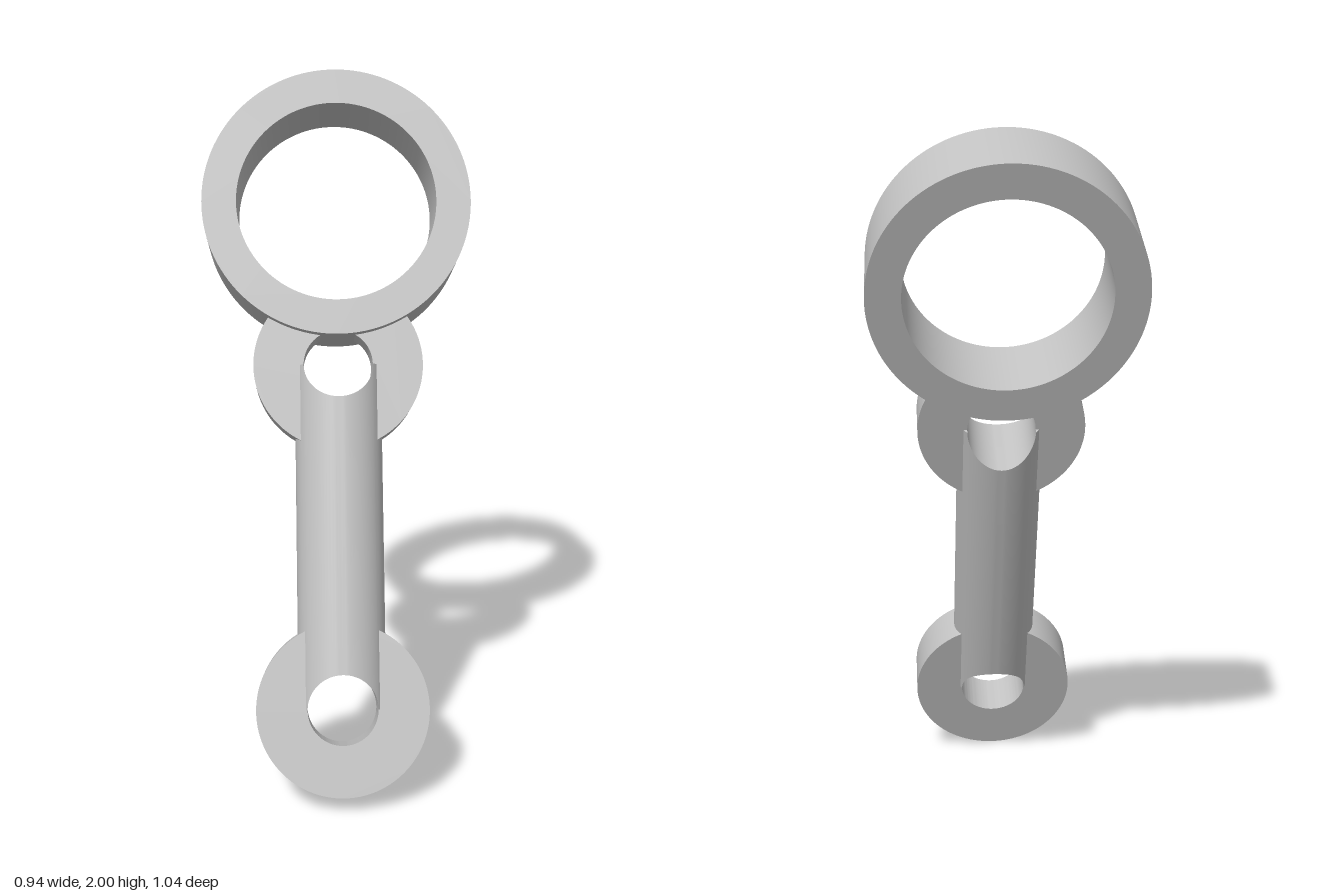
import * as THREE from 'three';
import { toCreasedNormals } from 'three/addons/utils/BufferGeometryUtils.js';

const BORE = 0.1, EYE = 0.245, ROD = 0.126, LENGTH = 0.984;
const RING_Y = 1.457, RING_OUTER = 0.39, RING_INNER = 0.29;

// Extrude a shape along z, centred on the shape plane, with smooth curved walls
function plate(shape, holeRadius, depth) {
  shape.holes.push(new THREE.Path().absarc(0, 0, holeRadius, 0, Math.PI * 2, true));
  const g = new THREE.ExtrudeGeometry(shape, { depth, bevelEnabled: false, curveSegments: 64 });
  g.translate(0, 0, -depth / 2);
  return toCreasedNormals(g, 0.6);
}

function disc(radius) {
  return new THREE.Shape().absarc(0, 0, radius, 0, Math.PI * 2, false);
}

// Disc with a scoop on top, so that it ends inside the wall of the large ring
function scoopedDisc(radius, distance, scoop) {
  const y = (distance ** 2 + radius ** 2 - scoop ** 2) / (2 * distance);
  const x = Math.sqrt(radius ** 2 - y ** 2);
  const a = Math.atan2(y, x), b = Math.atan2(y - distance, x);
  const s = new THREE.Shape();
  s.absarc(0, 0, radius, Math.PI - a, Math.PI * 2 + a, false);
  s.absarc(0, distance, scoop, b, -Math.PI - b, true);
  return s;
}

// Round rod along y whose two ends are hollowed by the cross bores
function rodGeometry() {
  const us = [], edge = Math.acos(BORE / ROD);
  for (let i = 0; i < 6; i++) us.push(ROD * Math.cos(edge * i / 6));
  for (let i = 0; i <= 32; i++) us.push(BORE * Math.cos(Math.PI * i / 32));
  for (let i = 5; i >= 0; i--) us.push(-ROD * Math.cos(edge * i / 6));

  const point = (u, top, side) => {
    const w = Math.sqrt(Math.max(0, ROD ** 2 - u ** 2));
    const e = Math.sqrt(Math.max(0, BORE ** 2 - u ** 2));
    return [u, top ? LENGTH - e : e, side * w];
  };
  const pos = [];
  const quad = (a, b, c, d) => pos.push(...a, ...b, ...c, ...a, ...c, ...d);
  for (let i = 0; i < us.length - 1; i++) {
    const a = us[i], b = us[i + 1];
    // front and back walls
    quad(point(b, 0, 1), point(a, 0, 1), point(a, 1, 1), point(b, 1, 1));
    quad(point(a, 0, -1), point(b, 0, -1), point(b, 1, -1), point(a, 1, -1));
    // lower and upper bore faces
    quad(point(a, 0, 1), point(b, 0, 1), point(b, 0, -1), point(a, 0, -1));
    quad(point(a, 1, -1), point(b, 1, -1), point(b, 1, 1), point(a, 1, 1));
  }
  const g = new THREE.BufferGeometry();
  g.setAttribute('position', new THREE.Float32BufferAttribute(pos, 3));
  return toCreasedNormals(g, 0.6);
}

export function createModel() {
  const metal = new THREE.MeshStandardMaterial({ color: 0xc0c0c0 });
  metal.name = 'light grey';
  const model = new THREE.Group();
  model.name = 'connectingRod';

  const add = (name, geometry, y, z = 0) => {
    const mesh = new THREE.Mesh(geometry, metal);
    mesh.name = name;
    mesh.position.set(0, y, z);
    rod.add(mesh);
  };

  // Everything is built along y with the bores along z, then tilted
  const rod = new THREE.Group();
  rod.name = 'tiltedRod';
  add('lowerEye', plate(disc(EYE), BORE, 0.14), 0);
  add('shaft', rodGeometry(), 0);
  add('upperEye', plate(scoopedDisc(EYE, RING_Y - LENGTH, 0.34), BORE, 0.12), LENGTH);
  add('largeRing', plate(disc(RING_OUTER), RING_INNER, 0.245), RING_Y, -0.02);

  const bore = new THREE.Vector3(-0.465, 0.385, 0.797).normalize();
  const along = new THREE.Vector3(0.192, 0.923, -0.334);
  along.addScaledVector(bore, -along.dot(bore)).normalize();
  const across = new THREE.Vector3().crossVectors(along, bore);
  rod.quaternion.setFromRotationMatrix(new THREE.Matrix4().makeBasis(across, along, bore));
  rod.position.set(-0.225, 0.254, 0.32);
  model.add(rod);
  return model;
}
